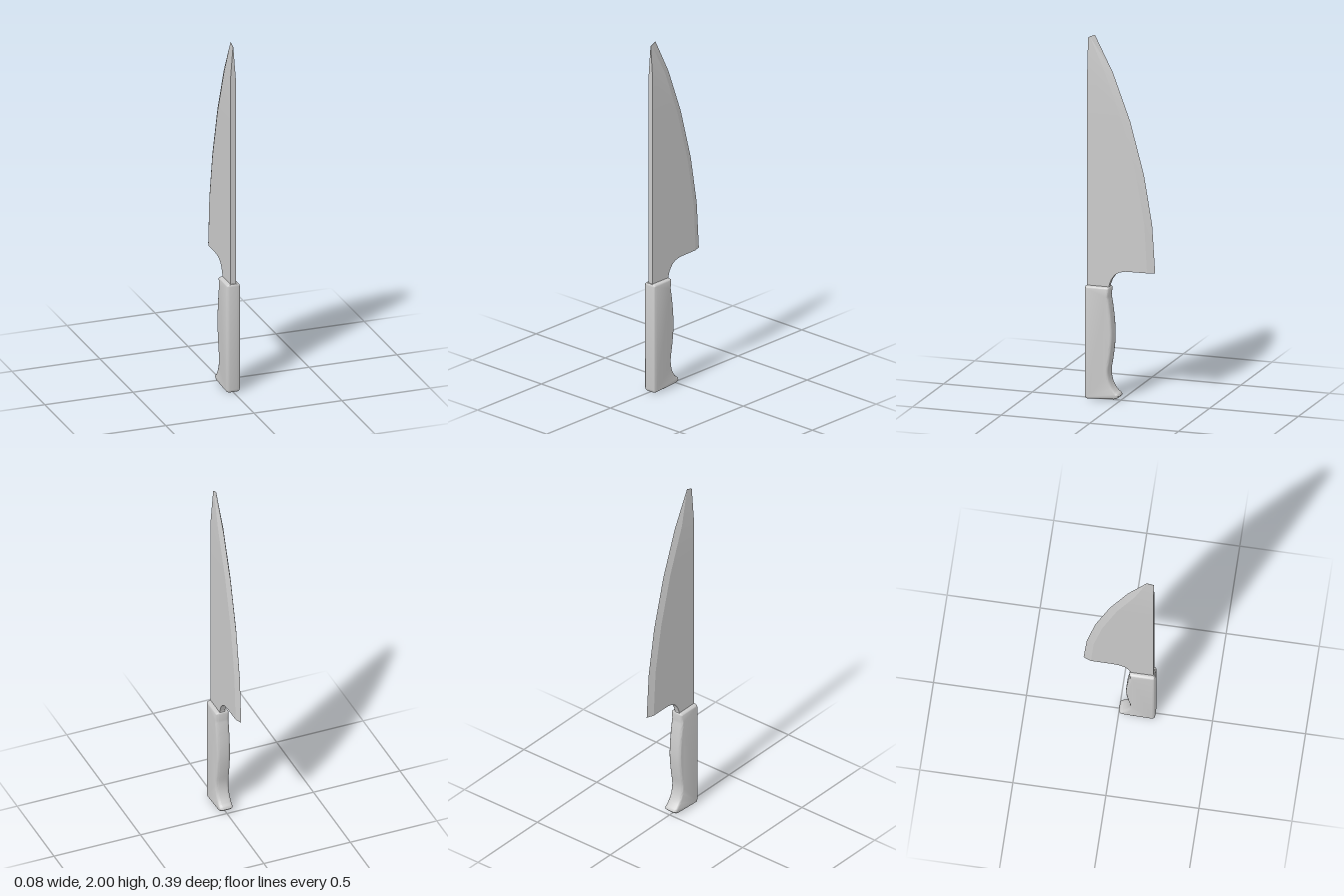
import * as THREE from 'three';
import { toCreasedNormals } from 'three/addons/utils/BufferGeometryUtils.js';

// Blade: six-point sections (spine, bevel start, cutting edge; left and right) joined upwards
function bladeGeometry() {
  const T = 0.015, SPINE = 0.185;
  // y, z of bevel start, z of edge, half thickness, half thickness at edge, spine drop
  const rows = [
    [0.59, 0.063, 0.063, T, T, 0],
    [0.63, 0.062, 0.062, T, T, 0],
    [0.662, 0.05, 0.05, T, T, 0],
    [0.69, 0.03, 0.03, T, T, 0],
    [0.706, 0.005, 0.005, T, T, 0],
    [0.714, -0.03, -0.03, T, T, 0],
    [0.716, -0.152, -0.193, T, 0, 0],
    [0.98, -0.137, -0.176, T, 0, 0],
    [1.25, -0.09, -0.13, T, 0, 0],
    [1.54, -0.012, -0.052, T, 0, 0],
    [1.8, 0.085, 0.045, T, 0, 0],
    [2.0, 0.175, 0.147, 0.001, 0, 0.018],
  ];
  const pos = [], index = [];
  for (const [y, bevel, edge, t, e, drop] of rows) {
    pos.push(t, y - drop, SPINE, t, y - drop * 0.7, bevel, e, y, edge,
      -e, y, edge, -t, y - drop * 0.7, bevel, -t, y - drop, SPINE);
  }
  for (let r = 0; r < rows.length - 1; r++) {
    for (let i = 0; i < 6; i++) {
      const a = r * 6 + i, b = r * 6 + (i + 1) % 6;
      index.push(a, b, a + 6, b, b + 6, a + 6);
    }
  }
  // end caps
  const top = (rows.length - 1) * 6;
  for (let i = 1; i < 5; i++) {
    index.push(0, i + 1, i, top, top + i, top + i + 1);
  }
  const g = new THREE.BufferGeometry();
  g.setAttribute('position', new THREE.Float32BufferAttribute(pos, 3));
  g.setIndex(index);
  return toCreasedNormals(g, 0.25);
}

// Handle: side outline with a finger curve and hooked butt, extruded with rounded edges
function handleGeometry() {
  const s = new THREE.Shape();
  s.moveTo(-0.18, 0);
  s.lineTo(-0.03, 0.008);
  s.quadraticCurveTo(-0.012, 0.01, 0, 0.026);
  s.quadraticCurveTo(-0.002, 0.042, -0.018, 0.047);
  s.splineThru([[-0.04, 0.075], [-0.056, 0.115], [-0.06, 0.165], [-0.049, 0.235],
    [-0.039, 0.33], [-0.041, 0.42], [-0.051, 0.51], [-0.061, 0.57]]
    .map(([x, y]) => new THREE.Vector2(x, y)));
  s.lineTo(-0.056, 0.61);
  s.quadraticCurveTo(-0.056, 0.622, -0.068, 0.622);
  s.lineTo(-0.182, 0.622);
  s.quadraticCurveTo(-0.195, 0.622, -0.195, 0.608);
  s.lineTo(-0.195, 0.018);
  s.quadraticCurveTo(-0.195, 0.001, -0.18, 0);
  const half = 0.0385, round = 0.017, inset = 0.013;
  const g = new THREE.ExtrudeGeometry(s, {
    depth: 2 * (half - round), curveSegments: 3,
    bevelEnabled: true, bevelThickness: round, bevelSize: inset,
    bevelOffset: -inset, bevelSegments: 3,
  });
  g.translate(0, 0, -(half - round));
  g.rotateY(Math.PI / 2);
  return toCreasedNormals(g, 0.6);
}

export function createModel() {
  const group = new THREE.Group();
  group.name = 'kitchenKnife';
  const material = new THREE.MeshStandardMaterial({ color: 0xcccccc });
  const add = (name, geometry) => {
    const mesh = new THREE.Mesh(geometry, material);
    mesh.name = name;
    group.add(mesh);
  };
  add('blade', bladeGeometry());
  add('handle', handleGeometry());
  return group;
}
